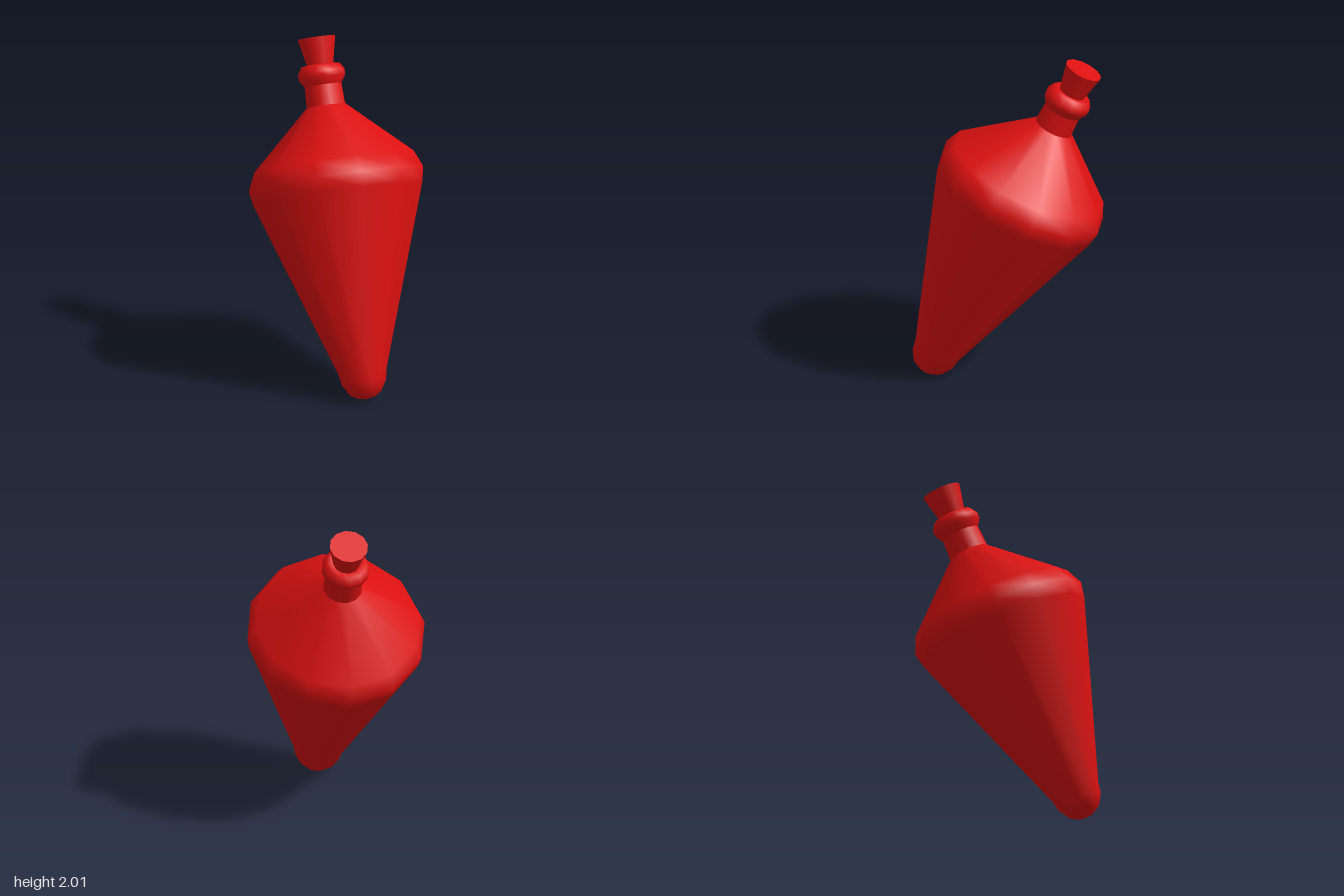
import * as THREE from 'three';

const SIDES = 12;
const PHASE = THREE.MathUtils.degToRad(22.5);

export function createModel() {
  const model = new THREE.Group();
  model.name = 'tiltedFlask';
  const red = new THREE.MeshStandardMaterial({ color: 0xdd1010, side: THREE.DoubleSide });

  // Everything is turned around one leaning axis; heights run along it
  const flask = new THREE.Group();
  flask.name = 'flask';
  flask.position.set(0.385, 0.13, 0.31);
  flask.quaternion.setFromUnitVectors(
    new THREE.Vector3(0, 1, 0),
    new THREE.Vector3(-0.70, 1.825, -0.535).normalize()
  );
  model.add(flask);

  const turned = (name, profile) => {
    const points = profile.map(([r, h]) => new THREE.Vector2(r, h));
    const mesh = new THREE.Mesh(new THREE.LatheGeometry(points, SIDES, PHASE), red);
    mesh.name = name;
    flask.add(mesh);
  };

  // Rounded tip, long cone, softened widest ring and shoulder
  turned('body', [
    [0, -0.135], [0.05, -0.127], [0.097, -0.098], [0.135, -0.035], [0.147, 0.03],
    [0.517, 1.09], [0.535, 1.18], [0.49, 1.28], [0.118, 1.617],
  ]);

  // Short neck
  turned('neck', [[0.118, 1.61], [0.112, 1.75]]);

  // Swollen lip, closed over towards the stopper
  turned('lip', [
    [0.112, 1.74], [0.142, 1.785], [0.143, 1.82], [0.118, 1.86], [0.085, 1.865], [0.06, 1.85],
  ]);

  // Tapered stopper
  const stopper = new THREE.Mesh(
    new THREE.CylinderGeometry(0.115, 0.073, 0.195, SIDES, 1, false, PHASE), red);
  stopper.name = 'stopper';
  stopper.position.y = 1.9275;
  flask.add(stopper);

  return model;
}
